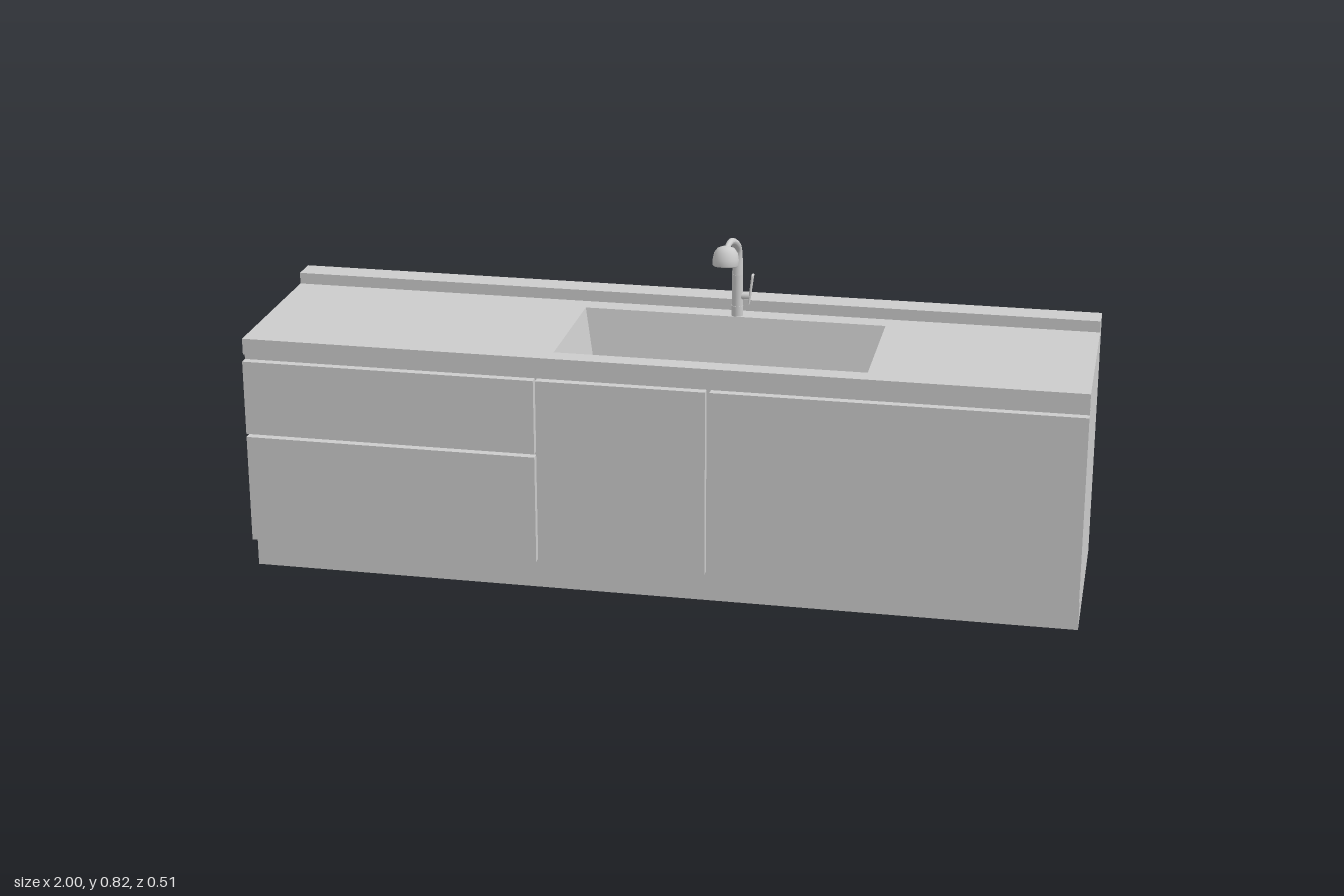
import * as THREE from 'three';

const material = new THREE.MeshStandardMaterial({ color: 0xcccccc });
const twoSided = new THREE.MeshStandardMaterial({ color: 0xcccccc, side: THREE.DoubleSide });

// Sink opening at the top and the smaller floor below: [x0, x1, z0, z1]
const OPENING = [-0.25, 0.49, -0.14, 0.2];
const FLOOR = [-0.22, 0.47, -0.11, 0.17];
const TOP_Y = 0.595;
const FLOOR_Y = 0.43;
const BACK = -0.255;

function add(parent, name, geometry, mat = material) {
  const mesh = new THREE.Mesh(geometry, mat);
  mesh.name = name;
  parent.add(mesh);
  return mesh;
}

// Box given by its limits on each axis
function block(parent, name, x0, x1, y0, y1, z0, z1) {
  const mesh = add(parent, name, new THREE.BoxGeometry(x1 - x0, y1 - y0, z1 - z0));
  mesh.position.set((x0 + x1) / 2, (y0 + y1) / 2, (z0 + z1) / 2);
  return mesh;
}

// Full-width slab with the sink opening cut through it
function slabWithOpening(parent, name, y0, y1, front) {
  const rect = (path, [x0, x1, z0, z1]) => {
    path.moveTo(x0, -z0).lineTo(x1, -z0).lineTo(x1, -z1).lineTo(x0, -z1).closePath();
    return path;
  };
  const shape = rect(new THREE.Shape(), [-1, 1, BACK, front]);
  shape.holes.push(rect(new THREE.Path(), OPENING));
  const geometry = new THREE.ExtrudeGeometry(shape, { depth: y1 - y0, bevelEnabled: false });
  geometry.rotateX(-Math.PI / 2).translate(0, y0, 0);
  return add(parent, name, geometry);
}

// Four sloping walls and a floor
function basinGeometry() {
  const corners = ([x0, x1, z0, z1], y) => [[x0, y, z0], [x0, y, z1], [x1, y, z1], [x1, y, z0]];
  const rim = corners(OPENING, TOP_Y);
  const base = corners(FLOOR, FLOOR_Y);
  const points = [];
  const quad = (a, b, c, d) => points.push(...a, ...b, ...c, ...a, ...c, ...d);
  for (let i = 0; i < 4; i++) {
    const j = (i + 1) % 4;
    quad(rim[i], base[i], base[j], rim[j]);
  }
  quad(...base);
  const geometry = new THREE.BufferGeometry();
  geometry.setAttribute('position', new THREE.Float32BufferAttribute(points, 3));
  geometry.computeVertexNormals();
  return geometry;
}

// Tube that narrows from its start to its end
function taperedTube(curve, steps, sides, r0, r1) {
  const geometry = new THREE.TubeGeometry(curve, steps, r0, sides);
  const pos = geometry.attributes.position;
  const v = new THREE.Vector3();
  for (let i = 0; i < pos.count; i++) {
    const t = Math.floor(i / (sides + 1)) / steps;
    const centre = curve.getPointAt(t);
    v.fromBufferAttribute(pos, i).sub(centre).multiplyScalar(THREE.MathUtils.lerp(1, r1 / r0, t)).add(centre);
    pos.setXYZ(i, v.x, v.y, v.z);
  }
  geometry.computeVertexNormals();
  return geometry;
}

function createFaucet() {
  const faucet = new THREE.Group();
  faucet.name = 'faucet';
  faucet.position.set(0.125, 0, -0.155);

  const base = add(faucet, 'faucetBase', new THREE.CylinderGeometry(0.0145, 0.0145, 0.025, 24));
  base.position.y = 0.6075;
  const post = add(faucet, 'faucetPost', new THREE.CylinderGeometry(0.0135, 0.0135, 0.08, 24));
  post.position.y = 0.66;

  // Curved spout, path relative to the post
  const path = new THREE.CatmullRomCurve3([
    [0.7, 0], [0.748, 0], [0.768, 0.008], [0.788, 0.038], [0.804, 0.075], [0.812, 0.11], [0.811, 0.155],
  ].map(([y, z]) => new THREE.Vector3(0, y, z)));
  add(faucet, 'spout', taperedTube(path, 40, 16, 0.0135, 0.006));

  // Domed spray head, tipped slightly backwards
  const profile = [[0, -0.024], [0.027, -0.024], [0.031, -0.021], [0.031, -0.007], [0.028, 0.009],
    [0.02, 0.02], [0.01, 0.024], [0, 0.025]].map(([r, y]) => new THREE.Vector2(r, y));
  const head = add(faucet, 'sprayHead', new THREE.LatheGeometry(profile, 28));
  head.position.set(0, 0.795, 0.167);
  head.rotation.x = -0.17;

  // Side lever: short pivot and an upright paddle
  const pivot = add(faucet, 'leverPivot', new THREE.CylinderGeometry(0.009, 0.009, 0.022, 16));
  pivot.rotation.z = Math.PI / 2;
  pivot.position.set(0.02, 0.645, 0);
  const lever = add(faucet, 'lever', new THREE.CylinderGeometry(0.011, 0.008, 0.075, 16));
  lever.scale.x = 0.3;
  lever.rotation.z = -0.12;
  lever.position.set(0.033, 0.662, 0);
  return faucet;
}

export function createModel() {
  const model = new THREE.Group();
  model.name = 'sinkCabinet';

  // Cabinet body, hollow around the basin
  block(model, 'toeKick', -1, 1, 0, 0.08, BACK, 0.22);
  block(model, 'cabinetBody', -1, 1, 0.08, 0.42, BACK, 0.235);
  slabWithOpening(model, 'cabinetUpperBody', 0.42, 0.555, 0.235);

  // Worktop and raised back edge
  slabWithOpening(model, 'worktop', 0.555, TOP_Y, 0.247);
  block(model, 'backEdge', -1, 1, TOP_Y, 0.623, BACK, -0.19);
  add(model, 'basin', basinGeometry(), twoSided);

  // Drawer and door fronts with narrow gaps between them: [name, x0, x1, y0, y1]
  const fronts = [
    ['lowerDrawer', -1, -0.288, 0.08, 0.348],
    ['upperDrawer', -1, -0.288, 0.356, 0.54],
    ['middleDoor', -0.283, 0.121, 0.08, 0.54],
    ['sideDoor', 0.131, 1, 0.08, 0.54],
  ];
  for (const [name, x0, x1, y0, y1] of fronts) block(model, name, x0, x1, y0, y1, 0.235, 0.255);

  model.add(createFaucet());
  return model;
}
